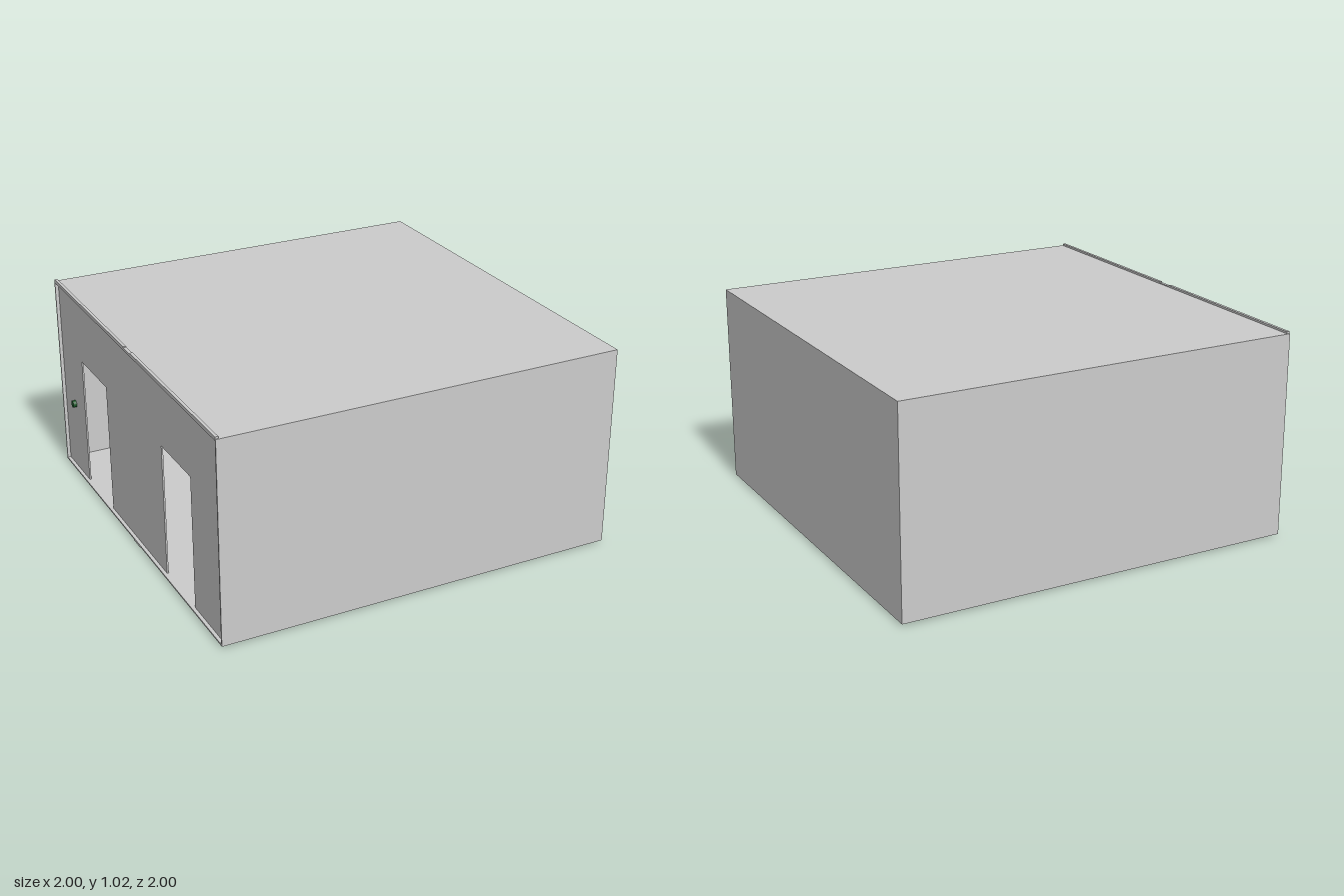
import * as THREE from 'three';

const grey = new THREE.MeshStandardMaterial({ color: 0xcccccc });
const green = new THREE.MeshStandardMaterial({ color: 0x1c5a2a });

const BASE = 0.01, TOP = 1.01, T = 0.008; // shell bottom, shell top, sheet thickness

export function createModel() {
  const group = new THREE.Group();

  const add = (name, geometry, material = grey) => {
    const mesh = new THREE.Mesh(geometry, material);
    mesh.name = name;
    group.add(mesh);
    return mesh;
  };
  // Box given by its lower and upper corners
  const box = (name, a, b) => {
    const mesh = add(name, new THREE.BoxGeometry(b[0] - a[0], b[1] - a[1], b[2] - a[2]));
    mesh.position.set((a[0] + b[0]) / 2, (a[1] + b[1]) / 2, (a[2] + b[2]) / 2);
  };

  // Thin shell, open on the -x side
  box('floor', [-1, BASE, -1], [1, BASE + T, 1]);
  box('roof', [-1, TOP - T, -1], [1, TOP, 1]);
  box('frontWall', [-1, BASE + T, 1 - T], [1, TOP - T, 1]);
  box('backWall', [-1, BASE + T, -1], [1, TOP - T, -1 + T]);
  box('sideWall', [1 - T, BASE + T, -1 + T], [1, TOP - T, 1 - T]);

  // Recessed wall with two doorways; the outline is drawn in (z, y)
  const low = BASE + T, high = TOP - T, end = 1 - T, doorTop = 0.68;
  const outline = [[-end, low]];
  for (const [z0, z1] of [[-0.7, -0.36], [0.34, 0.67]]) {
    outline.push([z0, low], [z0, doorTop], [z1, doorTop], [z1, low]);
  }
  outline.push([end, low], [end, high], [-end, high]);
  const wallShape = new THREE.Shape(outline.map(([z, y]) => new THREE.Vector2(-z, y)));
  const wallGeometry = new THREE.ExtrudeGeometry(wallShape, { depth: T, bevelEnabled: false });
  wallGeometry.rotateY(Math.PI / 2); // shape x becomes -z, depth becomes +x
  add('doorWall', wallGeometry).position.x = -0.983;

  // Roof edge strips on both sides of a central clip
  for (const s of [-1, 1]) {
    box('roofEdgeStrip', [-1, TOP, s < 0 ? -0.995 : 0.04], [-0.985, TOP + 0.01, s < 0 ? -0.04 : 0.995]);
  }
  box('topClip', [-1, TOP, -0.04], [-0.985, TOP + 0.005, 0.04]);
  box('bottomClip', [-1, BASE - 0.005, -0.04], [-0.985, BASE, 0.04]);

  // Small round plugs, one under the floor and one on the door wall
  add('floorPlug', new THREE.CylinderGeometry(0.018, 0.018, BASE, 24), green)
    .position.set(0.7, BASE / 2, -0.9);
  const wallPlug = add('wallPlug', new THREE.CylinderGeometry(0.018, 0.018, 0.018, 24), green);
  wallPlug.rotation.z = Math.PI / 2;
  wallPlug.position.set(-0.992, 0.39, -0.845);

  return group;
}
